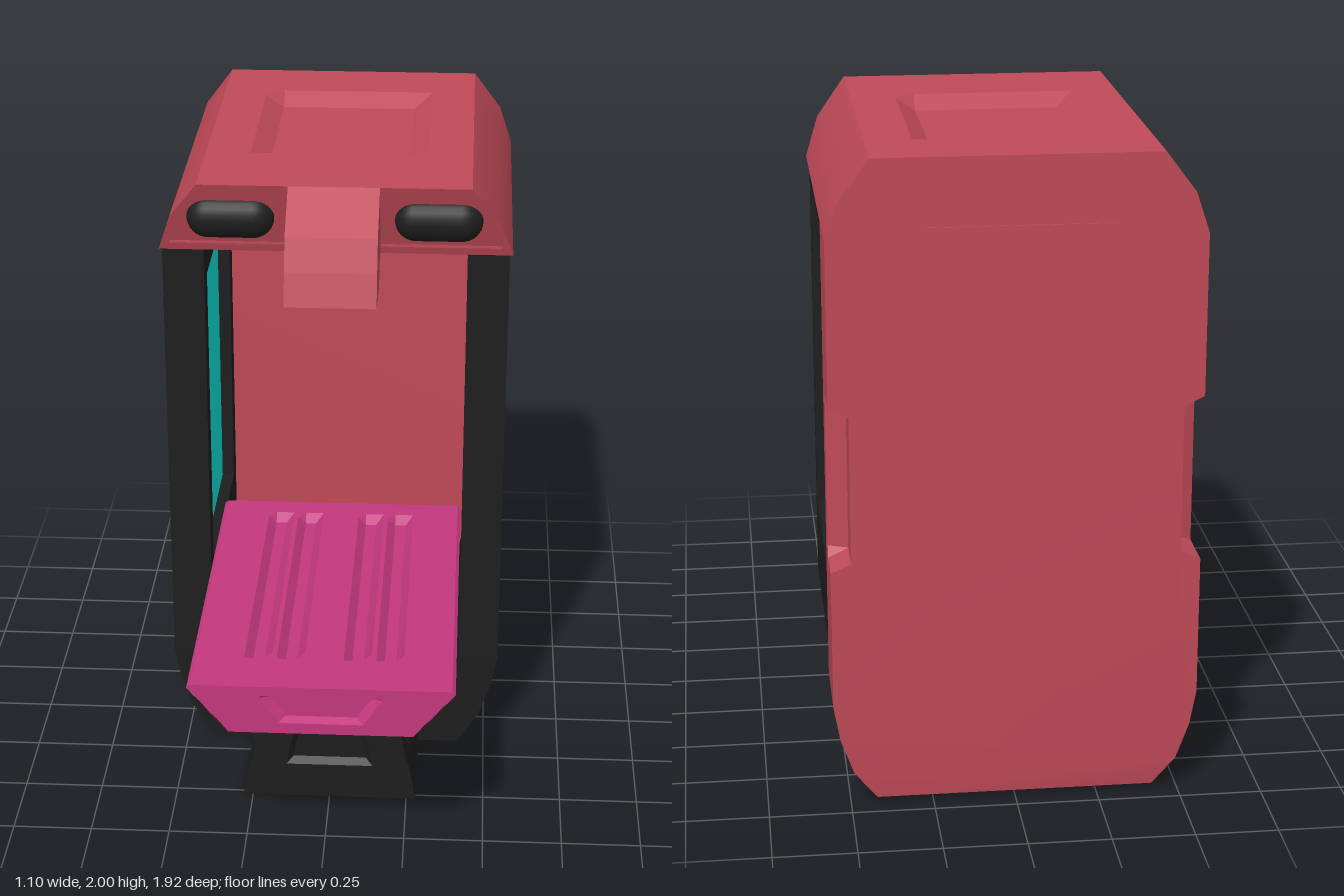
import * as THREE from 'three';
import { toCreasedNormals } from 'three/addons/utils/BufferGeometryUtils.js';

const mat = (color) => new THREE.MeshStandardMaterial({ color });

// Mirror a right-hand half outline (bottom to top) into a closed outline.
const mirror = (half) => [...half, ...half.map(([x, y]) => [-x, y]).reverse()];

// Shrink an outline about (0, cy).
const shrink = (pts, sx, sy, cy) => pts.map(([x, y]) => [x * sx, cy + (y - cy) * sy]);

// Skin outlines stacked along z (back to front); z may depend on y.
function loft(sections) {
  const pos = [], idx = [], n = sections[0][1].length;
  for (const [z, pts] of sections)
    for (const [x, y] of pts) pos.push(x, y, typeof z === 'function' ? z(y) : z);
  for (let s = 0; s < sections.length - 1; s++)
    for (let i = 0; i < n; i++) {
      const a = s * n + i, b = s * n + (i + 1) % n;
      idx.push(a, b, b + n, a, b + n, a + n);
    }
  const cap = (s, flip) => {
    const v = sections[s][1].map(([x, y]) => new THREE.Vector2(x, y));
    for (const [a, b, c] of THREE.ShapeUtils.triangulateShape(v, []))
      idx.push(...(flip ? [a, c, b] : [a, b, c]).map((k) => k + s * n));
  };
  cap(0, true);
  cap(sections.length - 1, false);
  const g = new THREE.BufferGeometry();
  g.setAttribute('position', new THREE.Float32BufferAttribute(pos, 3));
  g.setIndex(idx);
  return toCreasedNormals(g, 0.5);
}

const shape = (pts) => new THREE.Shape(pts.map(([x, y]) => new THREE.Vector2(x, y)));
const rect = (a, b, c, d) => [[a, c], [b, c], [b, d], [a, d]];

// Extrude a (z, y) shape across x from xa to xb.
function across(s, xa, xb) {
  const g = new THREE.ExtrudeGeometry(s, { depth: xb - xa, bevelEnabled: false });
  return g.rotateY(-Math.PI / 2).translate(xb, 0, 0);
}

export function createModel() {
  const model = new THREE.Group();
  const red = mat(0xc04a58), black = mat(0x1e1e1e), cyan = mat(0x10e6da), pink = mat(0xc4387f);
  const add = (name, geo, material) => {
    const m = new THREE.Mesh(geo, material);
    m.name = name;
    model.add(m);
    return m;
  };

  // Back housing with a grip notch in each side
  const housing = (d) => mirror([[0.42, 0.02], [0.49, 0.11], [0.53, 0.22], [0.55, 0.33], [0.55, 0.76],
    [0.55 - d, 0.79], [0.55 - d, 1.24], [0.55, 1.27], [0.55, 1.76]]);
  const lip = (y) => 0.015 * Math.max(0, (0.11 - y) / 0.09);
  add('backHousing', loft([
    [(y) => -0.96 + lip(y), housing(0.06)],
    [-0.83, housing(0.06)],
    [-0.805, housing(0)],
    [(y) => -0.71 - lip(y), housing(0)],
  ]), red);
  add('backSlot', new THREE.BoxGeometry(0.56, 0.015, 0.01).translate(0, 1.79, -0.959), red);

  // Roof with a sunken top panel and a sloping brow
  const roof = (d) => mirror([[0.55, 1.76], [0.51, 1.88], [0.42, 2], [0.28, 2], [0.22, 2 - d]]);
  add('roof', loft([
    [-0.96, roof(0)],
    [-0.73, roof(0)],
    [-0.67, roof(0.04)],
    [-0.13, roof(0.04)],
    [-0.07, roof(0)],
    [(y) => 0.16 + (y - 1.76) / 3, roof(0)],
  ]), red);
  add('browTrim', new THREE.BoxGeometry(1.03, 0.008, 0.01).translate(0, 1.79, 0.168), red);

  // Overhanging nozzle in the middle of the brow
  add('nozzle', across(shape([[0.1, 1.78], [0.22, 1.76], [0.26, 1.69], [0.45, 1.69], [0.42, 1.79],
    [0.385, 1.89], [0.24, 2], [0.1, 1.998]]), -0.14, 0.14), red);

  const wallCurve = [[0.54, 0.33], [0.52, 0.22], [0.48, 0.11], [0.41, 0]];
  for (const s of [1, -1]) {
    const side = s > 0 ? 'left' : 'right';
    const span = (a, b) => (s > 0 ? [a, b] : [-b, -a]);

    // Brow lamp
    const lamp = add(side + 'Lamp', new THREE.CapsuleGeometry(0.065, 0.14, 8, 20).rotateZ(Math.PI / 2), black);
    lamp.position.set(s * 0.32, 1.885, 0.203);
    lamp.scale.z = 0.75;

    // Window frame in two steps, the inner one with the smaller opening
    const frame = (hole) => {
      const f = shape(rect(-0.71, 0.16, 0.33, 1.76));
      f.holes.push(shape(hole));
      return f;
    };
    add(side + 'OuterFrame', across(frame(rect(-0.655, 0.105, 0.59, 1.685)), ...span(0.5, 0.54)), black);
    add(side + 'InnerFrame', across(frame(rect(-0.63, 0.08, 0.6, 1.65)), ...span(0.41, 0.5)), black);
    add(side + 'Window', new THREE.BoxGeometry(0.04, 1.05, 0.71).translate(s * 0.47, 1.125, -0.275), cyan);

    // Curved foot of the wall
    const foot = [...wallCurve, [0.28, 0], [0.34, 0.11], [0.39, 0.22], [0.41, 0.33]];
    const outline = foot.map(([x, y]) => [s * x, y]);
    if (s > 0) outline.reverse();
    add(side + 'WallFoot', loft([[-0.71, outline], [0.16, outline]]), black);
  }

  // Pedestal with side panels and a sunken front panel
  const pedestal = (d) => mirror([[0.28, 0], [0.259, 0.12], [0.248 - d, 0.15], [0.216 - d, 0.33],
    [0.211, 0.36], [0.195, 0.46], [0.175, 0.49]]);
  const plain = pedestal(0);
  add('pedestal', loft([
    [-0.28, plain],
    [-0.2, plain],
    [-0.17, pedestal(0.02)],
    [0.39, pedestal(0.02)],
    [0.42, plain],
    [0.52, plain],
    [0.52, shrink(plain, 0.5, 0.5, 0.24)],
    [0.5, shrink(plain, 0.42, 0.42, 0.24)],
  ]), black);

  // Tray with four long grooves on top and a groove down each side
  const tray = (top, flank) => mirror([[0.28, 0.51], [0.315, 0.555], [0.335 - flank, 0.575],
    [0.365 - flank, 0.615], [0.385, 0.635], [0.405, 0.66], [0.395, 0.67],
    [0.245, 0.67], [0.22, 0.67 - top], [0.185, 0.67 - top], [0.16, 0.67],
    [0.145, 0.67], [0.12, 0.67 - top], [0.085, 0.67 - top], [0.06, 0.67]]);
  const end = tray(0, 0);
  add('tray', loft([
    [-0.28, tray(0, 0.03)],
    [-0.2, tray(0, 0.03)],
    [-0.17, tray(0.025, 0.03)],
    [0.75, tray(0.025, 0.03)],
    [0.79, end],
    [0.96, end],
    [0.96, shrink(end, 0.46, 0.58, 0.595)],
    [0.935, shrink(end, 0.38, 0.44, 0.595)],
  ]), pink);

  return model;
}
